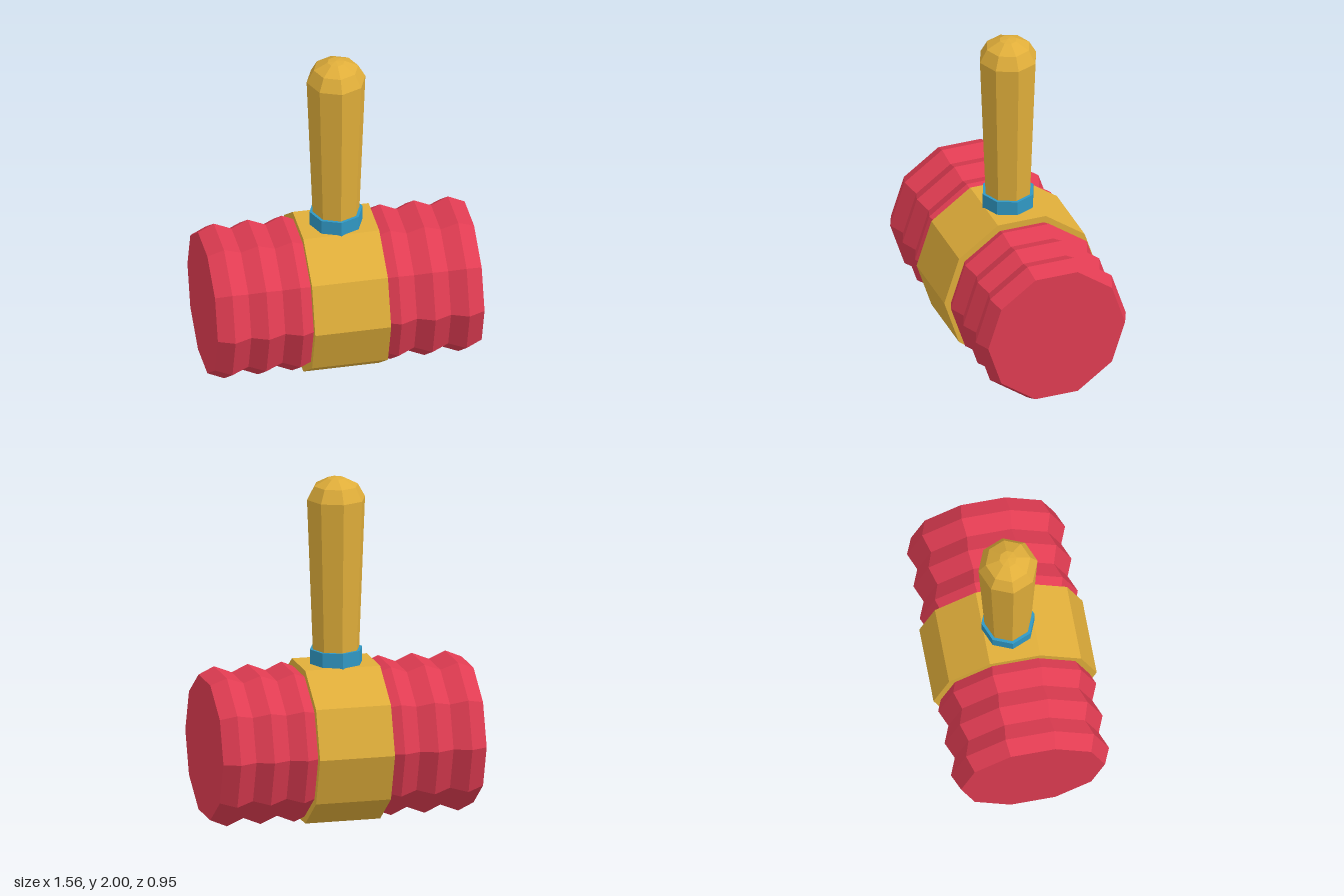
import * as THREE from 'three';

const flat = (name, color) => {
  const m = new THREE.MeshStandardMaterial({ color, flatShading: true });
  m.name = name;
  return m;
};

// Faceted solid turned from a bottom-to-top list of [radius, height]
function turned(name, profile, sides, material) {
  const points = profile.map(([r, y]) => new THREE.Vector2(r, y));
  const mesh = new THREE.Mesh(new THREE.LatheGeometry(points, sides), material);
  mesh.name = name;
  return mesh;
}

export function createModel() {
  const gold = flat('gold', 0xe0ae3a);
  const red = flat('red', 0xe03c52);
  const blue = flat('blue', 0x3098c4);

  const model = new THREE.Group();
  model.name = 'mallet';

  // Head lies along x: a ten-sided band with a ridged bellows on each side
  const head = new THREE.Group();
  head.name = 'head';
  head.position.y = 0.453;
  model.add(head);

  const band = turned('headBand', [[0, -0.222], [0.475, -0.222], [0.475, 0.222], [0, 0.222]], 10, gold);
  band.rotation.z = -Math.PI / 2;
  head.add(band);

  const ridges = [[0, 0.19], [0.42, 0.19]];
  for (let i = 0; i < 3; i++) {
    ridges.push([0.46, 0.287 + i * 0.199], [0.419, 0.385 + i * 0.199]);
  }
  ridges[ridges.length - 1][1] = 0.78;
  ridges.push([0, 0.78]);
  for (const side of [1, -1]) {
    const bellows = turned(side > 0 ? 'leftBellows' : 'rightBellows', ridges, 10, red);
    bellows.rotation.z = -side * Math.PI / 2;
    head.add(bellows);
  }

  // Collar where the handle meets the head
  model.add(turned('collar', [[0, 0.89], [0.155, 0.89], [0.155, 0.99], [0, 0.99]], 8, blue));

  // Tapered eight-sided handle with a domed end
  model.add(turned('handle', [
    [0, 0.95], [0.136, 0.95], [0.172, 1.875], [0.13, 1.952], [0.05, 1.994], [0, 2],
  ], 8, gold));

  return model;
}
